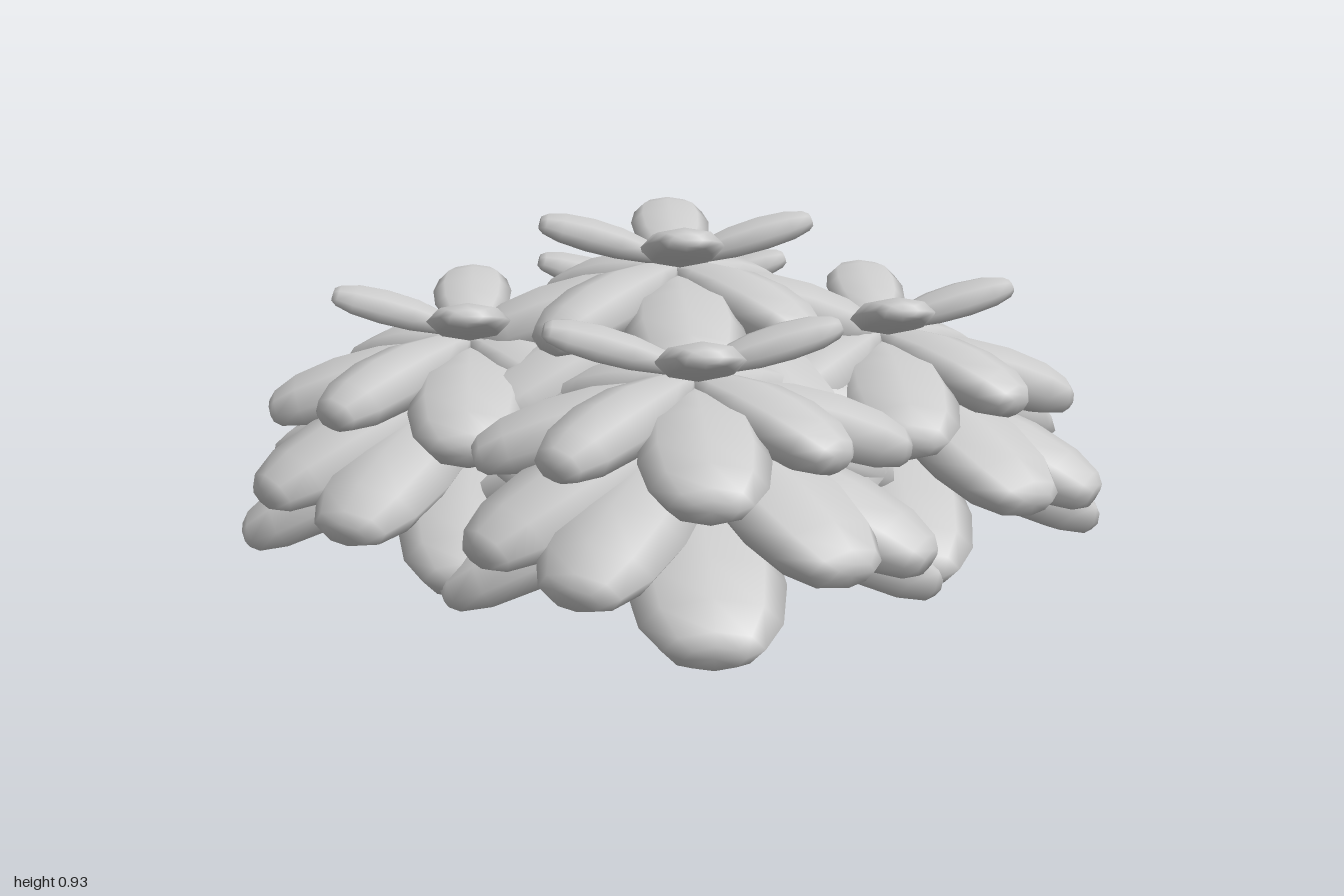
import * as THREE from 'three';
import { mergeVertices } from 'three/addons/utils/BufferGeometryUtils.js';

const material = new THREE.MeshStandardMaterial({ color: 0xcccccc });
const rad = THREE.MathUtils.degToRad;

// Fleshy leaf of unit length along +z: [half width, position along the leaf]
function leafGeometry() {
  const profile = [[0, 0], [0.25, 0.03], [0.64, 0.2], [0.93, 0.42], [1, 0.64], [0.88, 0.84], [0.62, 0.96], [0.38, 1], [0, 1]]
    .map(([r, t]) => new THREE.Vector2(r, t));
  let geo = new THREE.LatheGeometry(profile, 8);
  geo.rotateX(Math.PI / 2);
  geo.deleteAttribute('uv');
  geo.deleteAttribute('normal');
  geo = mergeVertices(geo, 1e-4);
  // Arch the blade slightly
  const p = geo.attributes.position;
  for (let i = 0; i < p.count; i++) {
    const z = p.getZ(i);
    p.setY(i, p.getY(i) + 0.4 * z * (1 - z));
  }
  geo.computeVertexNormals();
  return geo;
}

// Whorls from top to bottom: turn in degrees, reach, base and tip height,
// width, thickness, and how much reach (vary) / tip height (sag) change around the stem
const whorls = [
  { name: 'crownLeaf', turn: 45, reach: 0.36, base: 0.0, tip: 0.108, width: 0.215, thick: 0.09 },
  { name: 'upperLeaf', turn: 0, reach: 0.448, base: -0.015, tip: -0.15, width: 0.24, thick: 0.15, vary: 0.045 },
  { name: 'middleLeaf', turn: 45, reach: 0.53, base: -0.045, tip: -0.205, width: 0.31, thick: 0.16 },
  { name: 'broadLeaf', turn: -14, reach: 0.61, base: -0.12, tip: -0.36, width: 0.34, thick: 0.17 },
  { name: 'outerLeaf', turn: 15, reach: 0.61, base: -0.16, tip: -0.4, width: 0.34, thick: 0.17 },
  { name: 'droopingLeaf', turn: 45, reach: 0.61, base: -0.27, tip: -0.545, width: 0.37, thick: 0.18, sag: 0.03 },
];

function makeRosette(geo, name) {
  const rosette = new THREE.Group();
  rosette.name = name;
  for (const w of whorls) {
    for (let k = 0; k < 4; k++) {
      const angle = rad(w.turn + 90 * k);
      const reach = w.reach + (w.vary || 0) * Math.cos(angle);
      const rise = w.tip - w.base + (w.sag || 0) * Math.cos(angle - Math.PI / 4);
      const leaf = new THREE.Mesh(geo, material);
      leaf.name = w.name;
      leaf.position.y = w.base;
      leaf.rotation.set(-Math.atan2(rise, reach), angle, 0, 'YXZ');
      leaf.scale.set(w.width / 2, w.thick / 2, Math.hypot(reach, rise));
      rosette.add(leaf);
    }
  }
  return rosette;
}

export function createModel() {
  const model = new THREE.Group();
  model.name = 'succulentCluster';
  const geo = leafGeometry();

  // Raised rosette in the middle
  const centre = makeRosette(geo, 'centreRosette');
  centre.position.set(0, 0.79, 0);
  model.add(centre);

  // Four lower rosettes at the corners
  for (const x of [-1, 1]) {
    for (const z of [-1, 1]) {
      const corner = makeRosette(geo, (z > 0 ? 'front' : 'back') + (x > 0 ? 'Left' : 'Right') + 'Rosette');
      corner.position.set(0.387 * x, 0.605, 0.387 * z);
      model.add(corner);
    }
  }
  return model;
}
